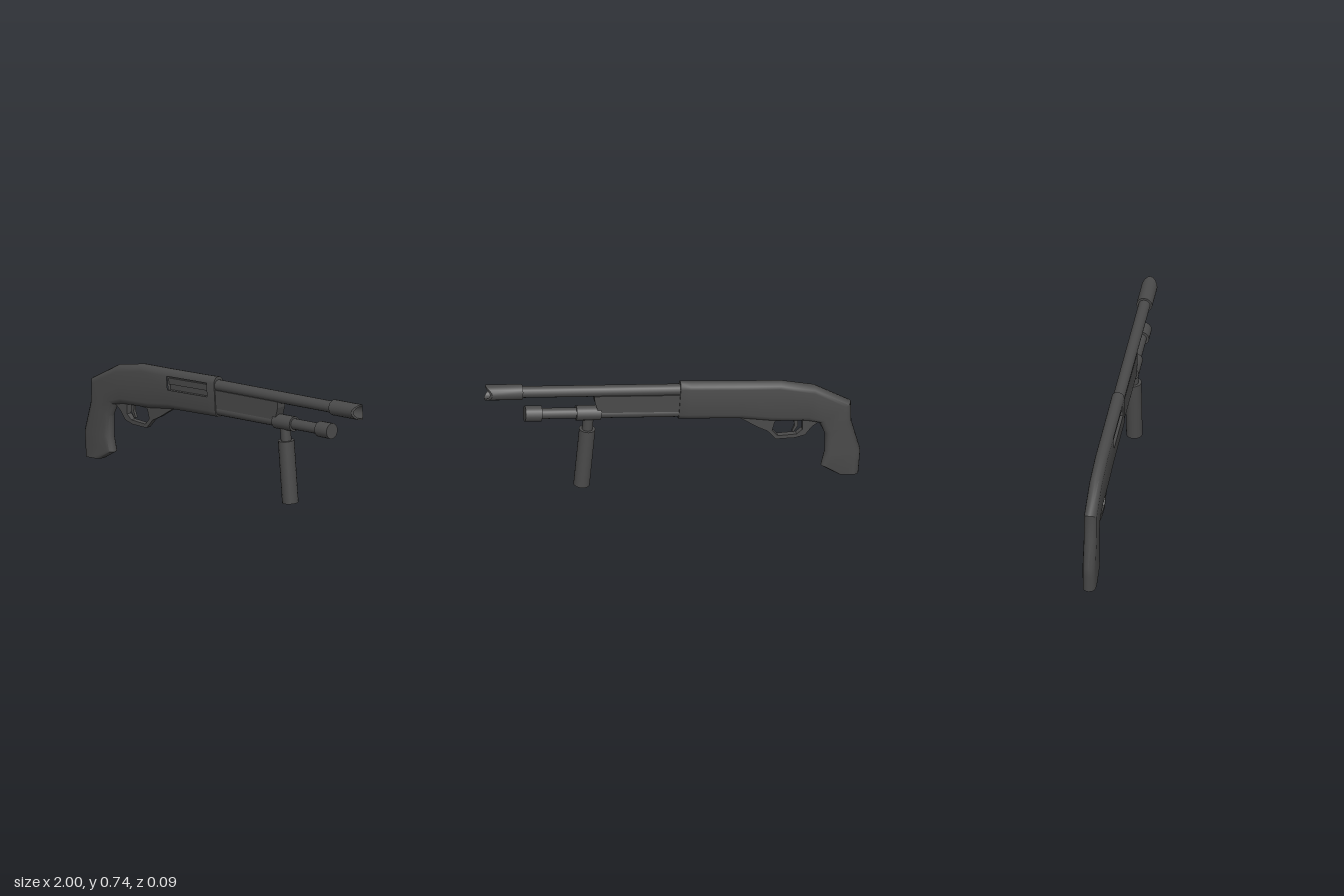
import * as THREE from 'three';
import { toCreasedNormals } from 'three/addons/utils/BufferGeometryUtils.js';

const dark = new THREE.MeshStandardMaterial({ color: 0x4a4a4a });
const darkInside = new THREE.MeshStandardMaterial({ color: 0x4a4a4a, side: THREE.BackSide });

function add(parent, name, geometry, x = 0, y = 0, z = 0, material = dark) {
  const mesh = new THREE.Mesh(geometry, material);
  mesh.name = name;
  mesh.position.set(x, y, z);
  parent.add(mesh);
  return mesh;
}

// Cylinder along x between two stations
function rod(parent, name, x0, x1, y, r) {
  const g = new THREE.CylinderGeometry(r, r, x1 - x0, 16).rotateZ(-Math.PI / 2);
  return add(parent, name, g, (x0 + x1) / 2, y);
}

function shapeOf(points) {
  return new THREE.Shape(points.map(([x, y]) => new THREE.Vector2(x, y)));
}

// Flat plate of given thickness, centred on z
function plate(points, depth, hole) {
  const shape = shapeOf(points);
  if (hole) shape.holes.push(shapeOf(hole));
  return new THREE.ExtrudeGeometry(shape, { depth, bevelEnabled: false }).translate(0, 0, -depth / 2);
}

// Stadium section spanning a top point and a bottom point
function section([tx, ty, bx, by, r]) {
  const len = Math.hypot(tx - bx, ty - by);
  const vx = (tx - bx) / len, vy = (ty - by) / len;
  const mx = (tx + bx) / 2, my = (ty + by) / 2;
  const pts = [];
  const put = (a, z) => pts.push([mx + vx * a, my + vy * a, z]);
  for (let half = 0; half < 2; half++) {
    for (let i = 0; i <= 6; i++) {
      const t = Math.PI * (half + i / 6);
      put((half ? -1 : 1) * (len / 2 - r) + r * Math.sin(t), r * Math.cos(t));
    }
  }
  put(0, r);
  return pts;
}

// Skin over the sections; the port panel is left open
function bodyGeometry(stations, portIndex) {
  const rings = stations.map(section);
  const n = rings[0].length;
  const pos = [];
  const tri = (...p) => p.forEach((q) => pos.push(...q));
  for (let s = 0; s < rings.length - 1; s++) {
    const A = rings[s], B = rings[s + 1];
    for (let i = 0; i < n; i++) {
      if (s === portIndex && i === n - 1) continue;
      const j = (i + 1) % n;
      tri(A[i], A[j], B[j]);
      tri(A[i], B[j], B[i]);
    }
  }
  const first = rings[0], last = rings[rings.length - 1];
  for (let i = 1; i < n - 1; i++) {
    tri(first[0], first[i + 1], first[i]);
    tri(last[0], last[i], last[i + 1]);
  }
  const g = new THREE.BufferGeometry();
  g.setAttribute('position', new THREE.Float32BufferAttribute(pos, 3));
  return toCreasedNormals(g, 0.6);
}

export function createModel() {
  const model = new THREE.Group();
  model.name = 'pumpShotgun';

  // Receiver running into the pistol grip: top x, y, bottom x, y, half width
  const stations = [
    [-0.045, 0.655, -0.03, 0.435, 0.034],
    [-0.1, 0.648, -0.085, 0.43, 0.034],
    [-0.39, 0.618, -0.37, 0.4, 0.034],
    [-0.58, 0.6, -0.52, 0.37, 0.034],
    [-0.76, 0.555, -0.72, 0.347, 0.034],
    [-0.95, 0.44, -0.78, 0.33, 0.034],
    [-0.953, 0.32, -0.81, 0.26, 0.034],
    [-1.0, 0.14, -0.81, 0.15, 0.034],
    [-0.997, 0.09, -0.79, 0.065, 0.034],
    [-0.99, 0.002, -0.87, 0.013, 0.034],
  ];
  add(model, 'receiverAndGrip', bodyGeometry(stations, 1));

  // Ejection port recess with the bolt inside
  const port = new THREE.Group();
  port.name = 'ejectionPort';
  port.position.set(-0.234, 0.561, 0.024);
  port.rotation.z = 0.104;
  model.add(port);
  add(port, 'portRecess', new THREE.BoxGeometry(0.291, 0.075, 0.02), 0, 0, 0, darkInside);
  add(port, 'bolt', new THREE.BoxGeometry(0.285, 0.034, 0.012), 0, 0.012, -0.003);

  // Trigger guard and trigger
  add(model, 'triggerGuard', plate(
    [[-0.79, 0.345], [-0.74, 0.31], [-0.705, 0.265], [-0.65, 0.253], [-0.55, 0.256], [-0.505, 0.31],
      [-0.46, 0.335], [-0.36, 0.405], [-0.5, 0.42], [-0.76, 0.4]],
    0.03,
    [[-0.69, 0.365], [-0.69, 0.3], [-0.66, 0.275], [-0.56, 0.275], [-0.53, 0.31], [-0.545, 0.365]]));
  add(model, 'trigger', plate(
    [[-0.67, 0.37], [-0.668, 0.32], [-0.645, 0.285], [-0.636, 0.29], [-0.65, 0.325], [-0.645, 0.37]], 0.016));

  // Barrel assembly, tilted slightly upward
  const front = new THREE.Group();
  front.name = 'barrelAssembly';
  front.position.y = 0.61;
  front.rotation.z = 0.09;
  model.add(front);
  const magY = -0.133;
  rod(front, 'barrel', -0.06, 0.82, 0, 0.031);
  rod(front, 'magazineTube', -0.06, 0.7, magY, 0.029);
  rod(front, 'magazineCap', 0.685, 0.773, magY, 0.042);
  rod(front, 'handleClamp', 0.37, 0.5, magY, 0.04);
  add(front, 'foreEnd', plate(
    [[-0.06, -0.02], [0.415, -0.02], [0.41, -0.055], [0.385, -0.12], [-0.06, -0.12]], 0.056));

  // Hollow muzzle with a scalloped mouth
  const profile = [[0.03, 0.8], [0.042, 0.8], [0.042, 1.0], [0.034, 1.0], [0.034, 0.9], [0, 0.9]];
  const muzzle = new THREE.LatheGeometry(profile.map(([r, h]) => new THREE.Vector2(r, h)), 16);
  muzzle.rotateZ(-Math.PI / 2);
  const p = muzzle.attributes.position;
  for (let i = 0; i < p.count; i++) {
    if (p.getX(i) > 0.95) p.setX(i, 0.998 - 0.035 * (p.getZ(i) / 0.042) ** 2);
  }
  add(front, 'muzzle', toCreasedNormals(muzzle, 0.6));

  // Vertical fore handle
  add(front, 'handleNeck', new THREE.CylinderGeometry(0.028, 0.028, 0.12, 16), 0.43, -0.19);
  add(front, 'foreHandle', new THREE.CylinderGeometry(0.043, 0.043, 0.337, 16), 0.43, -0.3985);

  return model;
}
